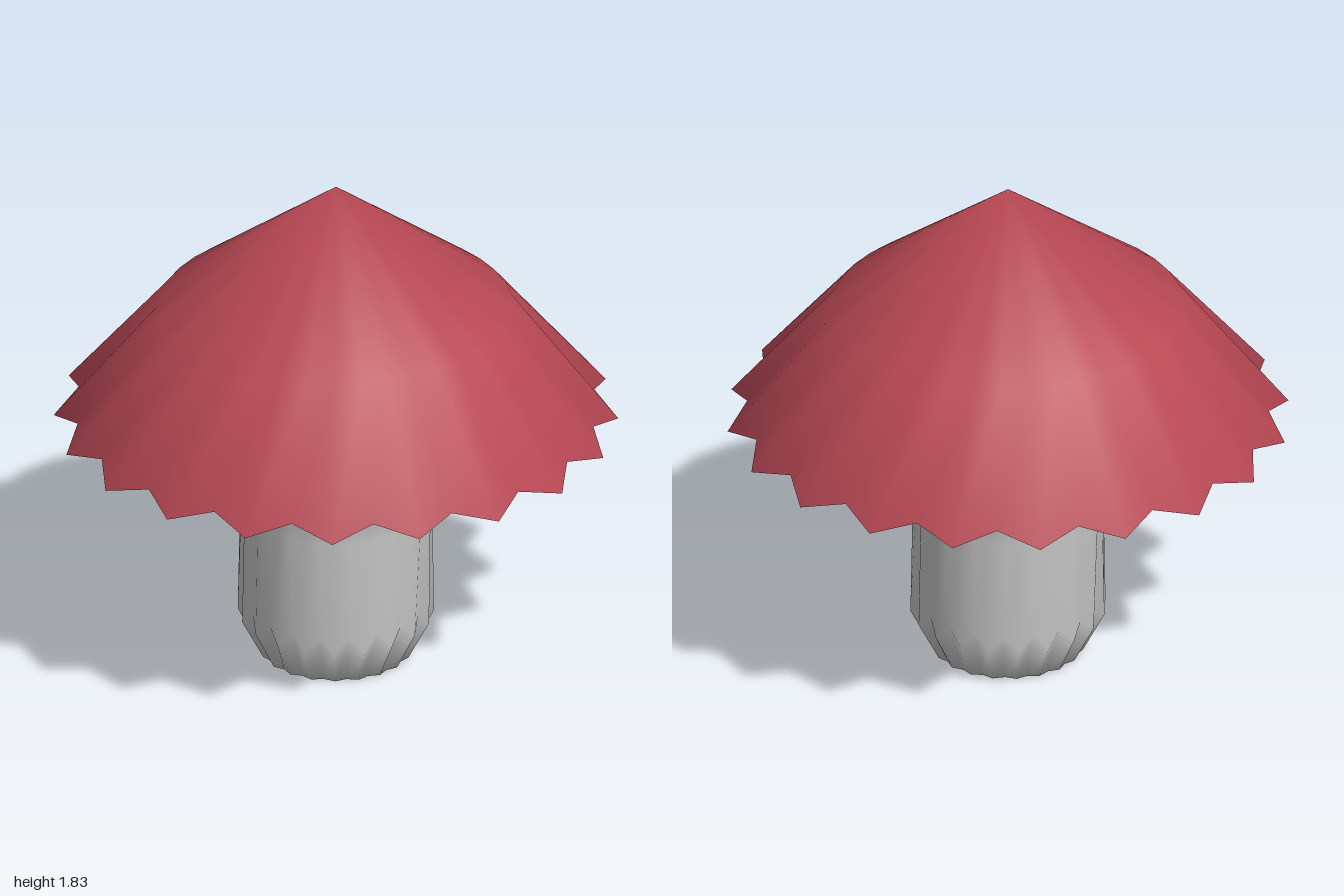
import * as THREE from 'three';

const SEGMENTS = 40; // alternating tooth tip and valley around the axis

// Profile from base centre, up the stem, out under the cap and up to the apex.
// Each ring: [tip radius, tip y, valley radius, valley y]
const RINGS = [
  [0, 0, 0, 0],              // base centre
  [0.27, 0, 0.255, 0],       // foot
  [0.348, 0.15, 0.328, 0.2], // fluted bulge
  [0.34, 0.58, 0.34, 0.58],  // stem waist
  [0.41, 0.96, 0.41, 0.96],  // stem meets gills
  [0.84, 0.945, 0.82, 0.955], // inner edge of the rim lip
  [1, 0.915, 0.925, 0.955],  // jagged rim
  [0.625, 1.36, 0.625, 1.36], // cap shoulder
  [0, 1.83, 0, 1.83],        // apex
];
const STEM_TOP = 4, RIM = 6;

// One continuous surface, so normals flow smoothly across the parts
function buildSurface() {
  const positions = [];
  RINGS.forEach(([tipR, tipY, valleyR, valleyY]) => {
    for (let j = 0; j < SEGMENTS; j++) {
      const a = (j / SEGMENTS) * Math.PI * 2;
      const r = j % 2 ? valleyR : tipR;
      positions.push(Math.sin(a) * r, j % 2 ? valleyY : tipY, Math.cos(a) * r);
    }
  });
  const g = new THREE.BufferGeometry();
  g.setAttribute('position', new THREE.Float32BufferAttribute(positions, 3));
  g.setIndex(bandIndex(0, RINGS.length - 1));
  g.computeVertexNormals();
  return g;
}

// Triangles between ring `from` and ring `to`; poles share one vertex
function bandIndex(from, to) {
  const id = (i, j) => i * SEGMENTS + (RINGS[i][0] === 0 ? 0 : j % SEGMENTS);
  const index = [];
  for (let i = from; i < to; i++) {
    for (let j = 0; j < SEGMENTS; j++) {
      const a = id(i, j), b = id(i, j + 1), c = id(i + 1, j + 1), d = id(i + 1, j);
      if (a !== b) index.push(a, b, c);
      else index.push(a, c, d);
      if (a !== b && c !== d) index.push(a, c, d);
    }
  }
  return index;
}

export function createModel() {
  const group = new THREE.Group();
  group.name = 'mushroom';
  const surface = buildSurface();
  const grey = new THREE.MeshStandardMaterial({ color: 0xcccccc });
  const red = new THREE.MeshStandardMaterial({ color: 0xb84854 });

  const addPart = (name, from, to, material) => {
    const g = surface.clone();
    g.setIndex(bandIndex(from, to));
    const mesh = new THREE.Mesh(g, material);
    mesh.name = name;
    group.add(mesh);
  };

  addPart('stem', 0, STEM_TOP, grey);
  addPart('capUnderside', STEM_TOP, RIM, grey);
  addPart('cap', RIM, RINGS.length - 1, red);
  return group;
}
